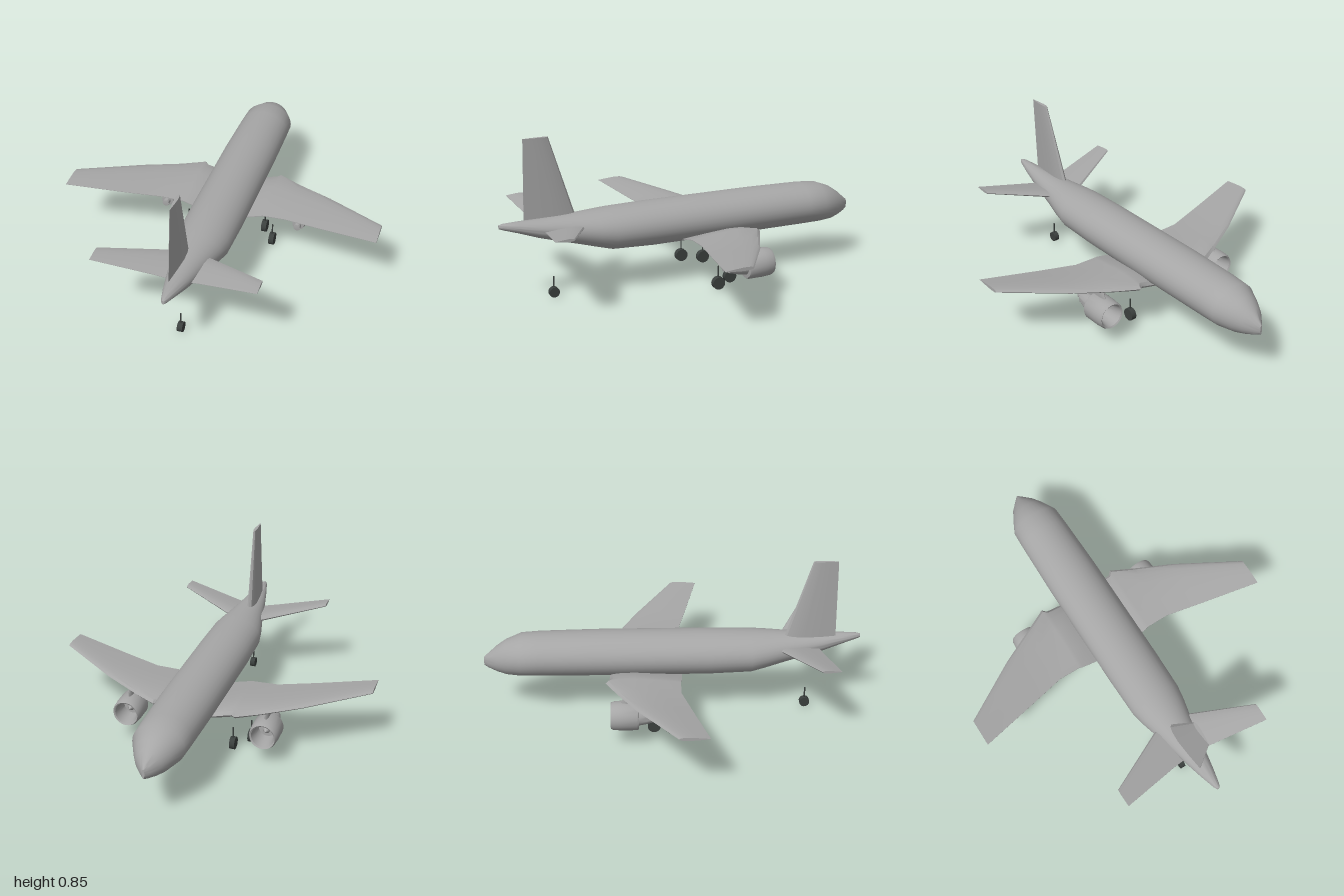
import * as THREE from 'three';
import { toCreasedNormals } from 'three/addons/utils/BufferGeometryUtils.js';

const grey = new THREE.MeshStandardMaterial({ color: 0xa6a6a6 });
grey.name = 'airframe grey';
const dark = new THREE.MeshStandardMaterial({ color: 0x3b403e });
dark.name = 'gear dark grey';

function mesh(name, geometry, material) {
  const m = new THREE.Mesh(geometry, material);
  m.name = name;
  return m;
}

// Closed skin through a row of rings with equal point counts, capped at both ends
function loft(rings, crease) {
  const n = rings[0].length;
  const tris = [];
  for (let i = 0; i < rings.length - 1; i++) {
    for (let j = 0; j < n; j++) {
      const k = (j + 1) % n;
      const [a, b, c, d] = [rings[i][j], rings[i][k], rings[i + 1][k], rings[i + 1][j]];
      tris.push([a, b, c], [a, c, d]);
    }
  }
  const first = rings[0], last = rings[rings.length - 1];
  for (let j = 1; j < n - 1; j++) {
    tris.push([first[0], first[j + 1], first[j]], [last[0], last[j], last[j + 1]]);
  }
  // Signed volume decides which way the faces must turn
  let volume = 0;
  const cross = new THREE.Vector3();
  for (const [a, b, c] of tris) volume += a.dot(cross.crossVectors(b, c));
  const points = tris.flatMap(([a, b, c]) => (volume < 0 ? [a, c, b] : [a, b, c]));
  const g = new THREE.BufferGeometry().setFromPoints(points);
  return toCreasedNormals(g, crease);
}

// Aerofoil outline: fraction of chord, fraction of thickness
const FOIL = [[0, 0], [0.04, 0.3], [0.15, 0.45], [0.35, 0.5], [0.7, 0.28], [1, 0.04],
  [1, -0.04], [0.7, -0.28], [0.35, -0.5], [0.15, -0.45], [0.04, -0.3]];

// Horizontal surface; sections are [x, leading z, trailing z, y, thickness]
function wingSurface(sections, side) {
  return loft(sections.map(([x, lead, trail, y, t]) => FOIL.map(([u, v]) =>
    new THREE.Vector3(side * x, y + v * t, lead + u * (trail - lead)))), 0.6);
}

// Vertical surface; sections are [y, leading z, trailing z, x, thickness]
function finSurface(sections) {
  return loft(sections.map(([y, lead, trail, x, t]) => FOIL.map(([u, v]) =>
    new THREE.Vector3(x + v * t, y, lead + u * (trail - lead)))), 0.6);
}

function fuselage() {
  // z, half width, bottom, top
  const stations = [
    [-1, 0.006, 0.272, 0.322], [-0.975, 0.03, 0.258, 0.343], [-0.93, 0.068, 0.242, 0.382],
    [-0.88, 0.096, 0.228, 0.416], [-0.8, 0.134, 0.226, 0.446], [-0.7, 0.138, 0.225, 0.453],
    [-0.4, 0.144, 0.225, 0.458], [0.2, 0.144, 0.226, 0.458], [0.42, 0.14, 0.235, 0.454],
    [0.5, 0.126, 0.257, 0.45], [0.58, 0.106, 0.28, 0.446], [0.7, 0.08, 0.313, 0.441],
    [0.8, 0.06, 0.342, 0.438], [0.9, 0.038, 0.378, 0.438], [0.98, 0.017, 0.404, 0.437], [1, 0.008, 0.412, 0.432],
  ];
  const sides = 32;
  return loft(stations.map(([z, w, bottom, top]) => Array.from({ length: sides }, (_, i) => {
    const a = (i / sides) * Math.PI * 2;
    return new THREE.Vector3(0.015 + w * Math.cos(a), (top + bottom) / 2 + (top - bottom) / 2 * Math.sin(a), z);
  })), 0.7);
}

// Hollow intake, cowling, tapering core and exhaust plug; [radius, z]
function engine(x) {
  const profile = [
    [0, -0.27], [0.018, -0.245], [0.02, -0.22], [0.048, -0.22], [0.052, -0.28], [0.06, -0.318],
    [0.067, -0.323], [0.073, -0.31], [0.076, -0.27], [0.076, -0.19], [0.071, -0.18], [0.052, -0.178],
    [0.046, -0.14], [0.032, -0.085], [0.018, -0.083], [0.018, -0.055], [0, -0.053],
  ].map(([r, z]) => new THREE.Vector2(r, z));
  const g = new THREE.LatheGeometry(profile, 32).rotateX(Math.PI / 2);
  return toCreasedNormals(g, 0.6).translate(x, 0.175, 0);
}

// Pylon blade between the cowling and the wing
function pylon(x) {
  return finSurface([
    [0.215, -0.27, -0.09, x, 0.02],
    [0.25, -0.27, -0.06, x, 0.022],
    [0.295, -0.25, -0.02, x, 0.022],
  ]);
}

function wheelUnit(name, x, z, radius, top) {
  const unit = new THREE.Group();
  unit.name = name;
  const y = radius + 0.003;
  const tyre = new THREE.CylinderGeometry(radius, radius, 0.028, 20).rotateZ(Math.PI / 2);
  const wheel = mesh('wheel', tyre, dark);
  wheel.position.set(x, y, z);
  const strut = mesh('strut', new THREE.CylinderGeometry(0.004, 0.004, top - y, 8), dark);
  strut.position.set(x, (top + y) / 2, z);
  unit.add(wheel, strut);
  return unit;
}

export function createModel() {
  const plane = new THREE.Group();
  plane.name = 'airliner';
  plane.add(mesh('fuselage', fuselage(), grey));

  const wing = [
    [0.06, -0.33, 0.05, 0.243, 0.04], [0.13, -0.33, 0.05, 0.263, 0.055], [0.2, -0.33, 0.045, 0.281, 0.055],
    [0.22, -0.35, 0.04, 0.284, 0.05], [0.34, -0.288, 0.04, 0.288, 0.036],
    [0.53, -0.19, 0.085, 0.306, 0.028], [0.85, 0.01, 0.16, 0.342, 0.018],
  ];
  const tailplane = [
    [0.02, 0.54, 0.775, 0.372, 0.034], [0.11, 0.585, 0.785, 0.389, 0.03], [0.42, 0.74, 0.838, 0.447, 0.015],
  ];
  for (const [label, side] of [['left', 1], ['right', -1]]) {
    const engineX = 0.0125 + side * 0.373;
    plane.add(
      mesh(label + 'Wing', wingSurface(wing, side), grey),
      mesh(label + 'Tailplane', wingSurface(tailplane, side), grey),
      mesh(label + 'Engine', engine(engineX), grey),
      mesh(label + 'Pylon', pylon(engineX), grey),
      wheelUnit(label + 'InnerGear', side * 0.17, -0.2, 0.034, 0.13),
      wheelUnit(label + 'OuterGear', side * 0.24, -0.1, 0.034, 0.13),
    );
  }

  // Upright fin, leaning slightly to one side
  plane.add(mesh('tailFin', finSurface([
    [0.4, 0.58, 0.865, -0.008, 0.04], [0.45, 0.6, 0.865, -0.006, 0.038], [0.855, 0.73, 0.86, 0.01, 0.018],
  ]), grey));
  plane.add(wheelUnit('singleGear', -0.003, 0.72, 0.027, 0.115));
  return plane;
}
